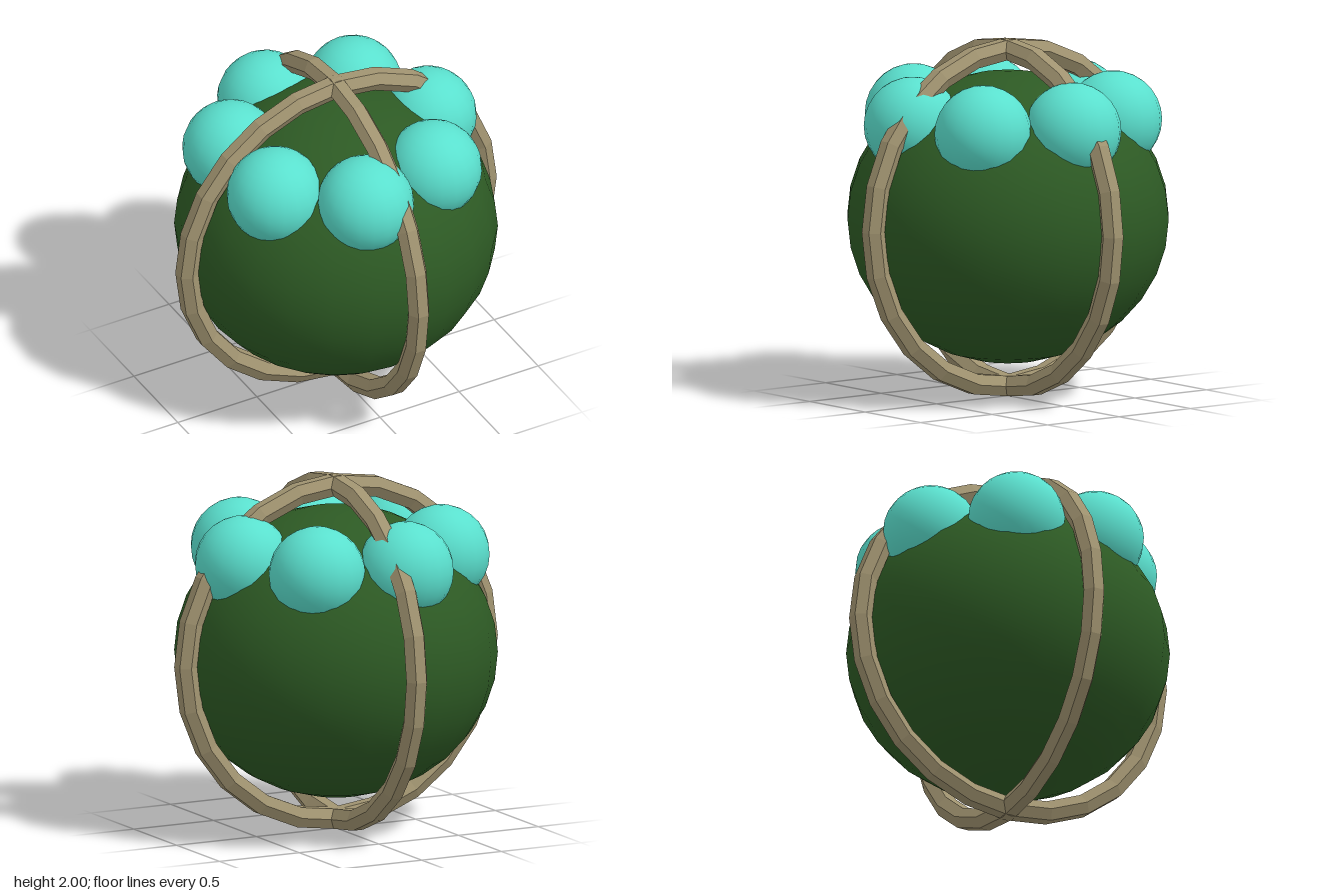
import * as THREE from 'three';

const paint = (name, color) => {
  const m = new THREE.MeshStandardMaterial({ color });
  m.name = name;
  return m;
};

export function createModel() {
  const model = new THREE.Group();
  const green = paint('deep green', 0x2d5a24);
  const turquoise = paint('turquoise', 0x5ae0ce);
  const wood = paint('pale wood', 0xa09370);
  wood.flatShading = true;

  const add = (name, geometry, material) => {
    const mesh = new THREE.Mesh(geometry, material);
    mesh.name = name;
    model.add(mesh);
    return mesh;
  };

  // Slightly flattened round body
  const body = add('body', new THREE.SphereGeometry(0.895, 24, 16), green);
  body.scale.y = 0.905;
  body.position.y = 1.005;

  // Crown of seven smooth buds, the first on the +x side
  const count = 7;
  for (let i = 0; i < count; i++) {
    const a = (i / count) * Math.PI * 2;
    const bud = add('bud' + (i + 1), new THREE.SphereGeometry(0.27, 20, 14), turquoise);
    bud.position.set(0.582 * Math.cos(a), 1.55, 0.582 * Math.sin(a));
  }

  // Two crossed upright hoops with a hexagonal section, flat side outward
  const section = [];
  for (let k = 0; k <= 6; k++) {
    const a = Math.PI / 6 + (k * Math.PI) / 3;
    section.push(new THREE.Vector2(0.942 + 0.065 * Math.cos(a), 0.065 * Math.sin(a)));
  }
  const hoop = new THREE.LatheGeometry(section, 24).rotateX(Math.PI / 2);
  add('sideHoop', hoop, wood).position.y = 1.002;
  const frontHoop = add('frontHoop', hoop, wood);
  frontHoop.position.y = 1.002;
  frontHoop.rotation.y = Math.PI / 2;

  return model;
}
